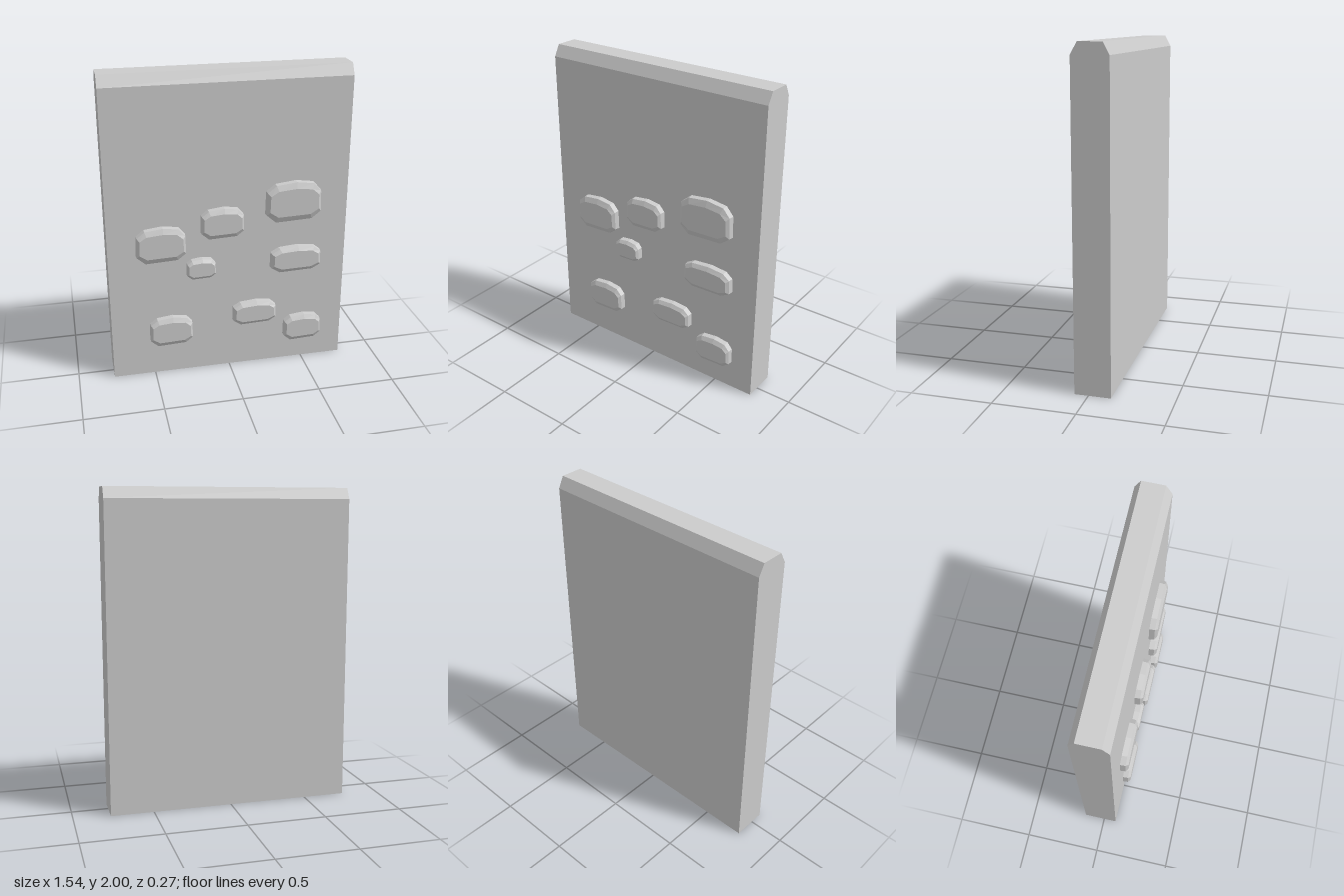
import * as THREE from 'three';

const material = new THREE.MeshStandardMaterial({ color: 0xcccccc, flatShading: true });
const WALL_FRONT = 0.084, WALL_BACK = -0.135, STONE_FRONT = 0.135;

// Stone outline in its unit box, counter-clockwise
const OUTLINE = [
  [0.17, 0], [0.83, 0.04], [1, 0.22], [0.99, 0.74], [0.86, 0.94],
  [0.54, 1], [0.17, 0.94], [0.01, 0.77], [0, 0.2],
];

// Stone: straight sides, a bevel, and a smaller flat face
function makeStone([x0, x1, y0, y1]) {
  const w = x1 - x0, h = y1 - y0;
  const ring = (sx, sy, z) => OUTLINE.map(([u, v]) => [
    (u - 0.5) * w * sx, (v - 0.5) * h * sy, z,
  ]);
  const rings = [
    ring(1, 1, WALL_FRONT - 0.005),
    ring(0.98, 0.98, STONE_FRONT - 0.016),
    ring(0.88, 0.69, STONE_FRONT),
  ];
  const pos = [];
  const n = OUTLINE.length;
  for (let i = 0; i < n; i++) {
    const j = (i + 1) % n;
    for (let r = 0; r < rings.length - 1; r++) {
      const a = rings[r][i], b = rings[r][j], c = rings[r + 1][j], d = rings[r + 1][i];
      pos.push(...a, ...b, ...c, ...a, ...c, ...d);
    }
    pos.push(0, 0, STONE_FRONT, ...rings[2][i], ...rings[2][j]);
  }
  const geo = new THREE.BufferGeometry();
  geo.setAttribute('position', new THREE.Float32BufferAttribute(pos, 3));
  geo.computeVertexNormals();
  const mesh = new THREE.Mesh(geo, material);
  mesh.position.set((x0 + x1) / 2, (y0 + y1) / 2, 0);
  return mesh;
}

export function createModel() {
  const group = new THREE.Group();

  // Wall slab: side profile with chamfered top, extruded along x
  const profile = new THREE.Shape([
    [-WALL_FRONT, 0], [-WALL_BACK, 0], [-WALL_BACK, 1.93],
    [0.098, 2], [-0.044, 2], [-WALL_FRONT, 1.93],
  ].map(([x, y]) => new THREE.Vector2(x, y)));
  const wallGeo = new THREE.ExtrudeGeometry(profile, { depth: 1.54, bevelEnabled: false });
  wallGeo.translate(0, 0, -0.77).rotateY(Math.PI / 2);
  const wall = new THREE.Mesh(wallGeo, material);
  wall.name = 'wallSlab';
  group.add(wall);

  // Raised stones: left, right, bottom, top
  const stones = new THREE.Group();
  stones.name = 'raisedStones';
  [
    [-0.595, -0.28, 0.815, 1.05],
    [-0.185, 0.09, 0.945, 1.148],
    [0.23, 0.59, 1.02, 1.287],
    [-0.28, -0.093, 0.677, 0.816],
    [0.267, 0.603, 0.667, 0.845],
    [-0.527, -0.247, 0.215, 0.42],
    [0.02, 0.31, 0.31, 0.474],
    [0.367, 0.622, 0.15, 0.338],
  ].forEach((bounds, i) => {
    const stone = makeStone(bounds);
    stone.name = `stone${i + 1}`;
    stones.add(stone);
  });
  group.add(stones);
  return group;
}
